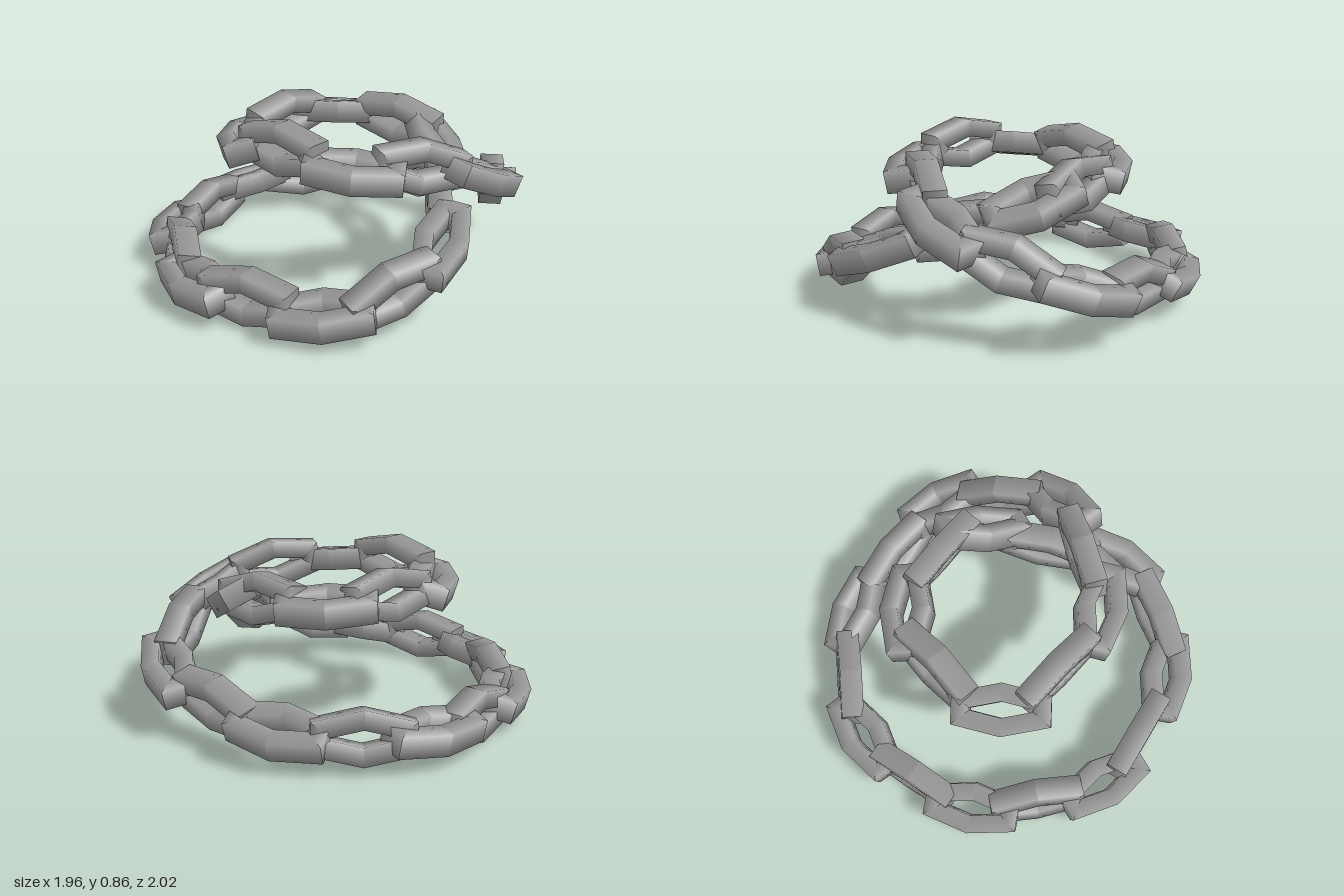
import * as THREE from 'three';

// One link: a mitred square bar around a six-cornered loop, long in x, wide in y, thick in z,
// shaded round across each straight run and sharp at the corners
function linkGeometry() {
  const path = [[0.2, -0.042], [0.2, 0.042], [0, 0.086], [-0.2, 0.042], [-0.2, -0.042], [0, -0.086]]
    .map(([x, y]) => new THREE.Vector2(x, y));
  const n = path.length, inPlane = 0.045, thick = 0.058;
  const section = [[1, -1], [1, 1], [-1, 1], [-1, -1]];
  const outwardOf = (i) => {
    const d = path[(i + 1) % n].clone().sub(path[i % n]).normalize();
    return new THREE.Vector2(d.y, -d.x);
  };
  const positions = [], normals = [], index = [];
  for (let i = 0; i < n; i++) {
    const face = outwardOf(i);
    // Both ends of this run, each with its mitre direction
    for (const [corner, neighbour] of [[i, i + n - 1], [(i + 1) % n, i + 1]]) {
      const miter = face.clone().add(outwardOf(neighbour)).normalize();
      const reach = inPlane / miter.dot(face);
      for (const [u, w] of section) {
        positions.push(path[corner].x + miter.x * u * reach, path[corner].y + miter.y * u * reach, w * thick);
        normals.push(face.x * u * Math.SQRT1_2, face.y * u * Math.SQRT1_2, w * Math.SQRT1_2);
      }
    }
    for (let j = 0; j < 4; j++) {
      const k = (j + 1) % 4, a = i * 8, b = a + 4;
      index.push(a + j, b + j, b + k, a + j, b + k, a + k);
    }
  }
  const g = new THREE.BufferGeometry();
  g.setAttribute('position', new THREE.Float32BufferAttribute(positions, 3));
  g.setAttribute('normal', new THREE.Float32BufferAttribute(normals, 3));
  g.setIndex(index);
  return g;
}

// Links along the closed double coil: centre x, y, z and tilt.
// Even links lie flat, odd ones stand upright.
const links = [
  [-0.04, 0.18, -0.87, 0.45], [0.34, 0.23, -0.78, 0.22], [0.69, 0.31, -0.64, 0.2], [0.80, 0.43, -0.31, 0],
  [0.80, 0.57, 0.02, 0.15], [0.53, 0.67, 0.23, 0], [0.25, 0.68, 0.43, 0.15], [-0.14, 0.73, 0.34, 0],
  [-0.42, 0.68, 0.15, 0.28], [-0.33, 0.70, -0.24, -0.2], [-0.11, 0.68, -0.48, 0.2], [0.26, 0.67, -0.45, -0.2],
  [0.49, 0.62, -0.31, 0.45], [0.58, 0.48, 0.02, 0], [0.68, 0.36, 0.42, 0.15], [0.52, 0.23, 0.70, 0.1],
  [0.23, 0.14, 0.87, 0.2], [-0.15, 0.16, 0.83, 0], [-0.46, 0.14, 0.74, 0.2], [-0.67, 0.15, 0.44, -0.2],
  [-0.83, 0.14, 0.14, 0.25], [-0.78, 0.135, -0.21, 0], [-0.68, 0.16, -0.54, 0.2], [-0.41, 0.17, -0.75, -0.2],
].map(([x, y, z, tilt]) => ({ centre: new THREE.Vector3(x, y, z), tilt }));

export function createModel() {
  const model = new THREE.Group();
  model.name = 'chain';
  const steel = new THREE.MeshStandardMaterial({ color: 0xa0a0a0 });
  steel.name = 'greySteel';
  const geometry = linkGeometry();
  const up = new THREE.Vector3(0, 1, 0);
  const n = links.length;

  links.forEach(({ centre, tilt }, i) => {
    const along = links[(i + 1) % n].centre.clone().sub(links[(i + n - 1) % n].centre).normalize();
    const side = new THREE.Vector3().crossVectors(up, along).normalize();
    // Quarter turn on every second link
    const upright = i % 2 === 1;
    side.applyAxisAngle(along, -(tilt + (upright ? Math.PI / 2 : 0)));
    const normal = new THREE.Vector3().crossVectors(along, side);
    const link = new THREE.Mesh(geometry, steel);
    link.name = `${upright ? 'upright' : 'flat'}Link${i + 1}`;
    link.quaternion.setFromRotationMatrix(new THREE.Matrix4().makeBasis(along, side, normal));
    link.position.copy(centre);
    model.add(link);
  });
  return model;
}
